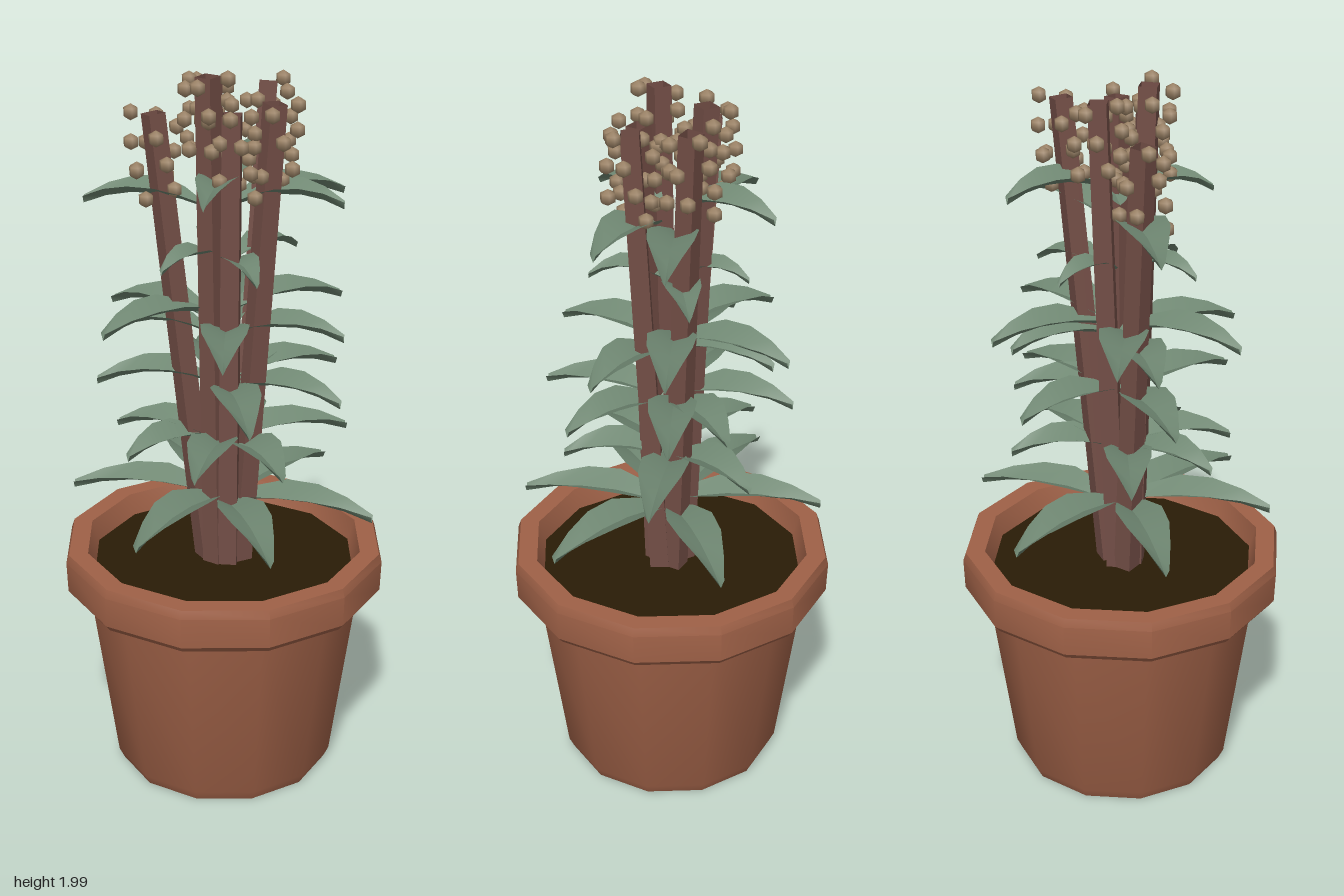
import * as THREE from 'three';
import { toCreasedNormals } from 'three/addons/utils/BufferGeometryUtils.js';

const mat = (name, color, side = THREE.FrontSide) => {
  const m = new THREE.MeshStandardMaterial({ color, side });
  m.name = name;
  return m;
};

// Arching blade growing along +x from the origin; each half rises from the spine to form a channel.
function leafGeometry(length) {
  // fraction along the blade, half width, spine height, edge lift
  const stations = [
    [0, 0.016, 0, 0.012], [0.15, 0.042, 0.014, 0.022], [0.35, 0.064, 0.026, 0.03],
    [0.58, 0.058, 0.027, 0.03], [0.8, 0.035, 0.015, 0.026], [1, 0.009, -0.008, 0.02],
  ];
  const k = Math.min(1, length / 0.26);
  const pos = [], idx = [];
  for (const [t, w, h, lift] of stations) {
    const x = t * length;
    pos.push(x, h + lift * k, -w * k, x, h, 0, x, h, 0, x, h + lift * k, w * k);
  }
  for (let i = 0; i < stations.length - 1; i++) {
    for (const j of [0, 2]) {
      const a = i * 4 + j;
      idx.push(a, a + 1, a + 4, a + 1, a + 5, a + 4);
    }
  }
  const g = new THREE.BufferGeometry();
  g.setAttribute('position', new THREE.Float32BufferAttribute(pos, 3));
  g.setIndex(idx);
  g.computeVertexNormals();
  return g;
}

export function createModel() {
  const model = new THREE.Group();
  const clay = mat('terracotta', 0x9f6147);
  const earth = mat('soil', 0x2a1c06);
  const bark = mat('stem brown', 0x744f47, THREE.DoubleSide);
  const green = mat('leaf green', 0x6f8772, THREE.DoubleSide);
  const tan = mat('seed tan', 0x9d8467);

  const add = (parent, geo, material, name) => {
    const mesh = new THREE.Mesh(geo, material);
    mesh.name = name;
    parent.add(mesh);
    return mesh;
  };

  // Twelve-sided pot with a thick rim
  const profile = [
    [0, 0], [0.298, 0], [0.312, 0.03], [0.382, 0.548], [0.43, 0.548], [0.443, 0.565],
    [0.446, 0.65], [0.438, 0.673], [0.385, 0.673], [0.362, 0.6],
  ].map(([r, y]) => new THREE.Vector2(r, y));
  add(model, toCreasedNormals(new THREE.LatheGeometry(profile, 12), 0.6), clay, 'pot');

  // Soil
  const soil = add(model, new THREE.CircleGeometry(0.366, 12), earth, 'soil');
  soil.rotation.x = -Math.PI / 2;
  soil.position.y = 0.615;

  // Stems: base x, z, top x, y, z and the angle of the first seed
  const stems = [
    [-0.045, 0.005, -0.18, 1.86, 0.02, 3.1],
    [-0.025, -0.02, -0.055, 1.94, -0.07, 2.4],
    [0.02, -0.035, 0.082, 1.92, -0.142, 5.2],
    [0.045, 0, 0.135, 1.9, 0.01, 0],
    [-0.015, 0.03, -0.025, 1.97, 0.063, 0.3],
    [0.02, 0.03, 0.04, 1.88, 0.072, 1.4],
  ].map(([bx, bz, tx, ty, tz, phase]) => ({
    base: new THREE.Vector3(bx, 0.61, bz), top: new THREE.Vector3(tx, ty, tz), phase,
  }));
  const up = new THREE.Vector3(0, 1, 0);
  const seedGeo = new THREE.SphereGeometry(0.022, 6, 3);
  stems.forEach(({ base, top, phase }, s) => {
    const dir = top.clone().sub(base);
    const geo = new THREE.CylinderGeometry(0.033, 0.036, dir.length(), 4, 1, true).toNonIndexed();
    geo.computeVertexNormals();
    geo.rotateY(s * 0.5);
    const stem = add(model, geo, bark, 'stem');
    stem.position.copy(base).add(top).multiplyScalar(0.5);
    stem.quaternion.setFromUnitVectors(up, dir.normalize());

    // Seeds spiralling down round the top of the stem
    const cluster = new THREE.Group();
    cluster.name = 'seedCluster';
    model.add(cluster);
    for (let i = 0; i < 13; i++) {
      const a = phase + i * 1.45;
      const seed = add(cluster, seedGeo, tan, 'seed');
      seed.position.set(top.x + Math.cos(a) * 0.059, top.y - i * 0.0175, top.z + Math.sin(a) * 0.059);
    }
  });

  // Leaf whorls: height, then the x, z of each tip
  const tiers = [
    [0.795, [0.42, 0.03], [-0.42, 0.04], [0.215, 0.355], [-0.135, 0.385], [0.205, -0.365], [-0.255, -0.325]],
    [0.965, [0.3, -0.2], [-0.31, -0.03], [0.21, 0.2], [0, 0.3], [0.02, -0.3], [-0.21, 0.2]],
    [1.13, [0.33, 0.06], [-0.33, 0.08], [0.15, 0.32], [-0.16, -0.29], [0.09, -0.28], [0.26, -0.23]],
    [1.285, [0.32, -0.02], [0.08, 0.32], [-0.3, 0.04], [-0.06, -0.3]],
    [1.325, [-0.33, -0.07], [-0.25, 0.26], [-0.06, -0.35], [0.27, -0.23]],
    [1.48, [0.15, -0.2], [-0.12, 0.17], [0.13, 0.17], [-0.1, -0.18]],
    [1.63, [-0.37, 0.03], [0.31, -0.03], [0.27, -0.23]],
    [1.69, [0.01, 0.24], [-0.05, -0.3]],
  ];
  const leaves = new THREE.Group();
  leaves.name = 'leaves';
  model.add(leaves);
  tiers.forEach(([y, ...tips]) => tips.forEach(([x, z], i) => {
    // Root each leaf between the middle of the clump and the stem nearest its tip
    const root = stems
      .map(({ base, top }) => base.clone().lerp(top, (y - base.y) / (top.y - base.y)))
      .sort((p, q) => Math.hypot(p.x - x, p.z - z) - Math.hypot(q.x - x, q.z - z))[0]
      .multiplyScalar(0.4);
    const dx = x - root.x, dz = z - root.z;
    const leaf = add(leaves, leafGeometry(Math.hypot(dx, dz)), green, 'leaf');
    leaf.position.set(root.x, y + (i % 2 ? 0.007 : -0.007), root.z);
    leaf.rotation.y = Math.atan2(-dz, dx);
  }));

  return model;
}
